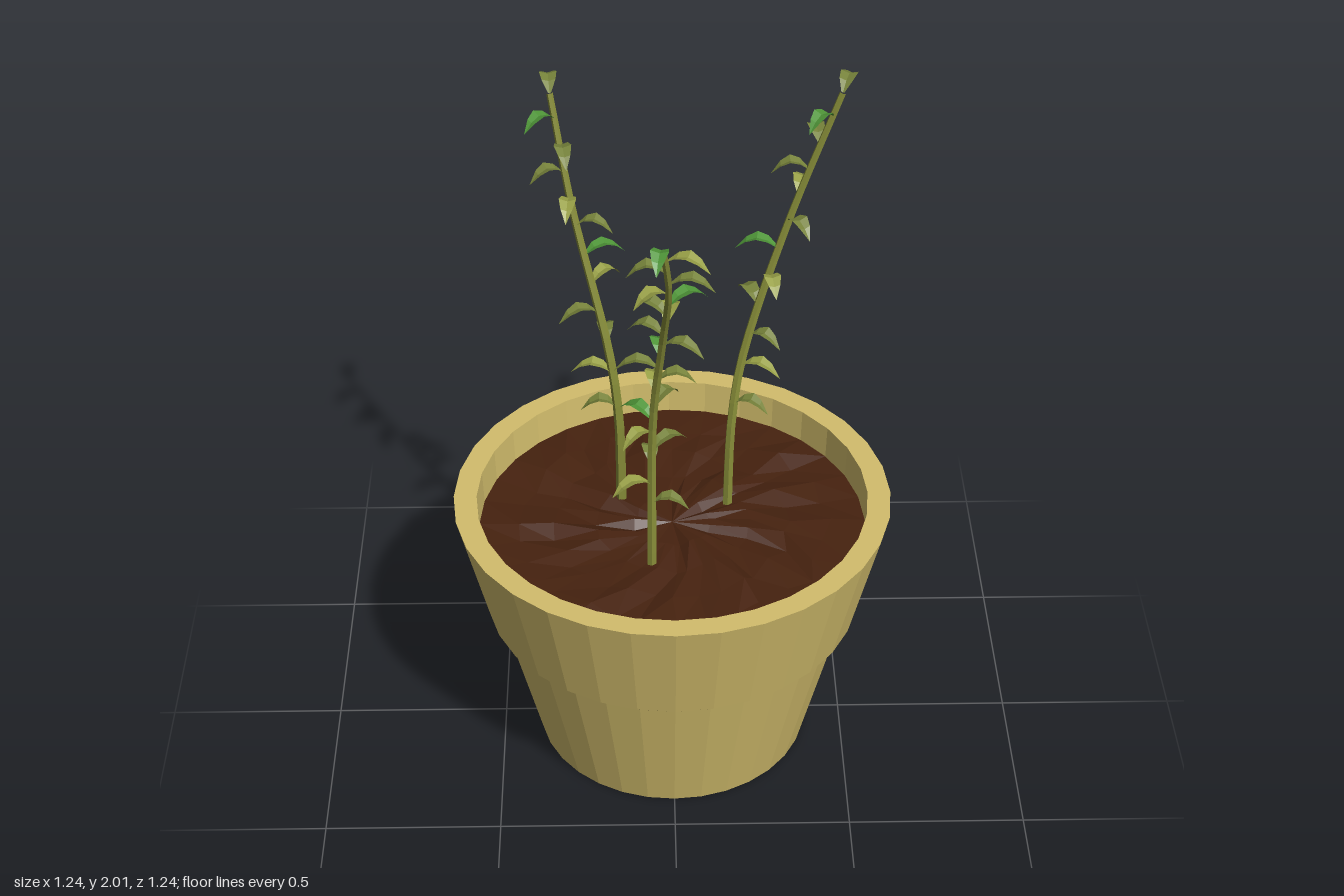
import * as THREE from 'three';

const V = (x, y, z) => new THREE.Vector3(x, y, z);
const mat = (name, color, extra = {}) =>
  new THREE.MeshStandardMaterial({ name, color, flatShading: true, ...extra });

// Six-sided tapering tube along a curve
function stemGeometry(curve) {
  const steps = 18, sides = 6;
  const g = new THREE.TubeGeometry(curve, steps, 1, sides);
  const p = g.attributes.position;
  for (let i = 0; i < p.count; i++) {
    const t = Math.floor(i / (sides + 1)) / steps;
    const c = curve.getPointAt(t);
    const v = V().fromBufferAttribute(p, i).sub(c).multiplyScalar(0.015 - 0.006 * t).add(c);
    p.setXYZ(i, v.x, v.y, v.z);
  }
  return g;
}

// Arched blade along +x with a folded midrib, widest in the middle
function leafGeometry(length) {
  const g = new THREE.PlaneGeometry(1, 2, 4, 2).rotateX(-Math.PI / 2);
  const p = g.attributes.position;
  for (let i = 0; i < p.count; i++) {
    const u = p.getX(i) + 0.5, s = p.getZ(i);
    const w = 0.024 * Math.sin(Math.PI * (0.06 + 0.94 * u));
    p.setXYZ(i, u * length, 0.03 * Math.sin(Math.PI * u) - 0.012 * u * u + Math.abs(s) * w * 0.3, s * w);
  }
  return g;
}

// Uneven disc of earth
function soilGeometry(radius) {
  const g = new THREE.RingGeometry(0, radius, 32, 5).rotateX(-Math.PI / 2);
  const p = g.attributes.position;
  const noise = (x, z, k) => {
    const n = Math.sin(Math.round(x * 1000) * 12.99 + Math.round(z * 1000) * 78.23 + k) * 43758.5;
    return n - Math.floor(n) - 0.5;
  };
  for (let i = 0; i < p.count; i++) {
    const x = p.getX(i), z = p.getZ(i), r = Math.hypot(x, z);
    if (r > radius - 0.01) continue;
    const j = r * 0.09;
    p.setXYZ(i, x + noise(x, z, 1) * j, noise(x, z, 2) * 0.025, z + noise(x, z, 3) * j);
  }
  return g;
}

export function createModel() {
  const model = new THREE.Group();
  model.name = 'pottedPlant';
  const clay = mat('clay', 0xd2bd6c);
  const earth = mat('earth', 0x46220f);
  const stemGreen = mat('stemGreen', 0x868c38);
  const olive = mat('oliveLeaf', 0x76823a, { side: THREE.DoubleSide });
  const pale = mat('paleLeaf', 0x98a046, { side: THREE.DoubleSide });
  const bright = mat('brightLeaf', 0x4f9638, { side: THREE.DoubleSide });
  const add = (parent, name, geo, material) => {
    const m = new THREE.Mesh(geo, material);
    m.name = name;
    parent.add(m);
    return m;
  };

  // Pot: tapered body, collar ledge, rim and inner wall
  const profile = [[0, 0], [.395, 0], [.503, .442], [.515, .447], [.538, .468], [.62, .81], [.555, .81], [.55, .68]];
  add(model, 'pot', new THREE.LatheGeometry(profile.map(([x, y]) => new THREE.Vector2(x, y)), 32), clay);
  add(model, 'soil', soilGeometry(0.553), earth).position.y = 0.71;

  // A curved stem with leaves spaced up it, each turned to its heading in degrees from +x towards +z
  const addPlant = (name, path, lowest, headings) => {
    const plant = new THREE.Group();
    plant.name = name + 'WithLeaves';
    model.add(plant);
    const curve = new THREE.CatmullRomCurve3(path.map((q) => V(...q)));
    add(plant, name, stemGeometry(curve), stemGreen);
    const samples = curve.getPoints(200);
    const top = samples[200].y;
    headings.forEach((heading, i) => {
      const y = lowest + (top - lowest) * (i / (headings.length - 1)) ** 0.88;
      const colour = i && i % 5 === 0 ? bright : i % 3 === 1 ? pale : olive;
      const leaf = add(plant, 'leaf', leafGeometry(0.105 + 0.015 * (i % 2)), colour);
      leaf.position.copy(samples.find((s) => s.y >= y - 1e-6));
      leaf.rotation.y = -THREE.MathUtils.degToRad(heading);
    });
  };

  addPlant('leftStem',
    [[-.145, .68, -.11], [-.15, 1, -.12], [-.175, 1.2, -.15], [-.27, 1.6, -.26], [-.325, 1.91, -.345]],
    1.03, [180, 190, 265, 160, 320, 340, 15, 95, 155, 80, 140, 265]);
  addPlant('frontStem',
    [[-.06, .68, .185], [-.055, 1.2, .182], [-.03, 1.5, .26], [-.015, 1.75, .38], [-.03, 1.89, .43]],
    0.91, [10, 155, 265, 325, 140, 220, 310, 265, 0, 185, 265, 25, 205, 285, 215, 330, 150, 10, 180, 20, 100]);
  addPlant('rightStem',
    [[.16, .68, -.09], [.17, 1, -.1], [.2, 1.2, -.13], [.32, 1.6, -.185], [.455, 1.975, -.215]],
    1.05, [25, 25, 35, 245, 80, 190, 60, 280, 180, 260, 130, 290]);
  return model;
}
